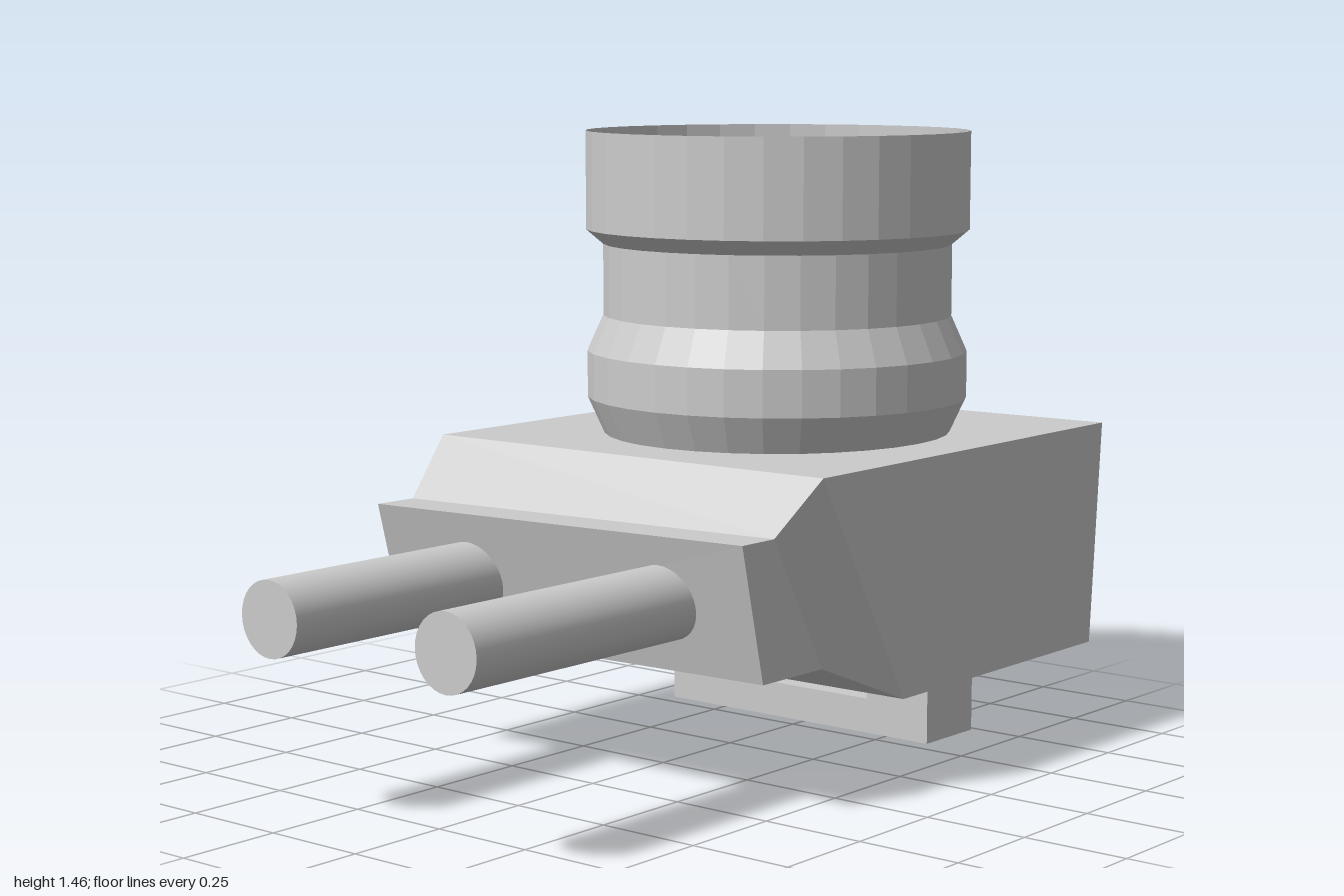
import * as THREE from 'three';

const material = new THREE.MeshStandardMaterial({ color: 0xcccccc, flatShading: true });
const openMaterial = new THREE.MeshStandardMaterial({ color: 0xcccccc, flatShading: true, side: THREE.DoubleSide });
const smoothMaterial = new THREE.MeshStandardMaterial({ color: 0xcccccc });

function addMesh(parent, name, geometry, mat = material) {
  const mesh = new THREE.Mesh(geometry, mat);
  mesh.name = name;
  parent.add(mesh);
  return mesh;
}

// Closed solid through four-cornered sections, ordered back to front.
// Corners run top -x, top +x, bottom +x, bottom -x.
function loft(sections) {
  const points = [];
  const quad = (a, b, c, d) => points.push(...a, ...b, ...c, ...a, ...c, ...d);
  for (let s = 0; s < sections.length - 1; s++) {
    const back = sections[s], front = sections[s + 1];
    for (let i = 0; i < 4; i++) {
      const j = (i + 1) % 4;
      quad(back[i], front[i], front[j], back[j]);
    }
  }
  const first = sections[0], last = sections[sections.length - 1];
  quad(first[0], first[1], first[2], first[3]);
  quad(last[3], last[2], last[1], last[0]);
  const geometry = new THREE.BufferGeometry();
  geometry.setAttribute('position', new THREE.Float32BufferAttribute(points, 3));
  geometry.computeVertexNormals();
  return geometry;
}

export function createModel() {
  const model = new THREE.Group();
  model.name = 'collarHousing';

  // Housing: main block, tapering shoulder, slightly skewed front plate
  addMesh(model, 'housing', loft([
    [[-0.57, 0.74, -1.0], [0.565, 0.75, -0.995], [0.55, 0.205, -0.98], [-0.55, 0.2, -0.98]],
    [[-0.57, 0.74, 0.14], [0.565, 0.745, 0.14], [0.55, 0.2, -0.19], [-0.55, 0.195, -0.19]],
    [[-0.54, 0.605, 0.275], [0.51, 0.62, 0.24], [0.505, 0.305, 0.06], [-0.55, 0.3, 0.09]],
    [[-0.545, 0.605, 0.385], [0.51, 0.62, 0.35], [0.505, 0.305, 0.27], [-0.55, 0.3, 0.3]],
  ]));

  // Open collar with a bulging base and a stepped rim
  const profile = [
    [0.415, 0.742], [0.455, 0.83], [0.455, 0.94], [0.417, 1.025],
    [0.417, 1.195], [0.458, 1.23], [0.458, 1.463],
  ].map(([r, y]) => new THREE.Vector2(r, y));
  const collar = addMesh(model, 'collar', new THREE.LatheGeometry(profile, 32), openMaterial);
  collar.position.set(0.004, 0, -0.42);

  // Two round rods reaching forward from the front plate
  for (const [name, x, y, end] of [['rightRod', -0.288, 0.454, 0.965], ['leftRod', 0.268, 0.463, 1.0]]) {
    const start = 0.25;
    const geometry = new THREE.CylinderGeometry(0.086, 0.086, end - start, 32);
    geometry.rotateX(Math.PI / 2);
    addMesh(model, name, geometry, smoothMaterial).position.set(x, y, (start + end) / 2);
  }

  // U-shaped bracket under the housing
  const outline = [
    [-0.418, 0], [0.37, 0], [0.37, 0.21], [0.19, 0.21],
    [0.19, 0.085], [-0.238, 0.085], [-0.238, 0.21], [-0.418, 0.21],
  ].map(([x, y]) => new THREE.Vector2(x, y));
  const bracket = addMesh(model, 'footBracket',
    new THREE.ExtrudeGeometry(new THREE.Shape(outline), { depth: 0.19, bevelEnabled: false }));
  bracket.position.z = -0.735;

  return model;
}
